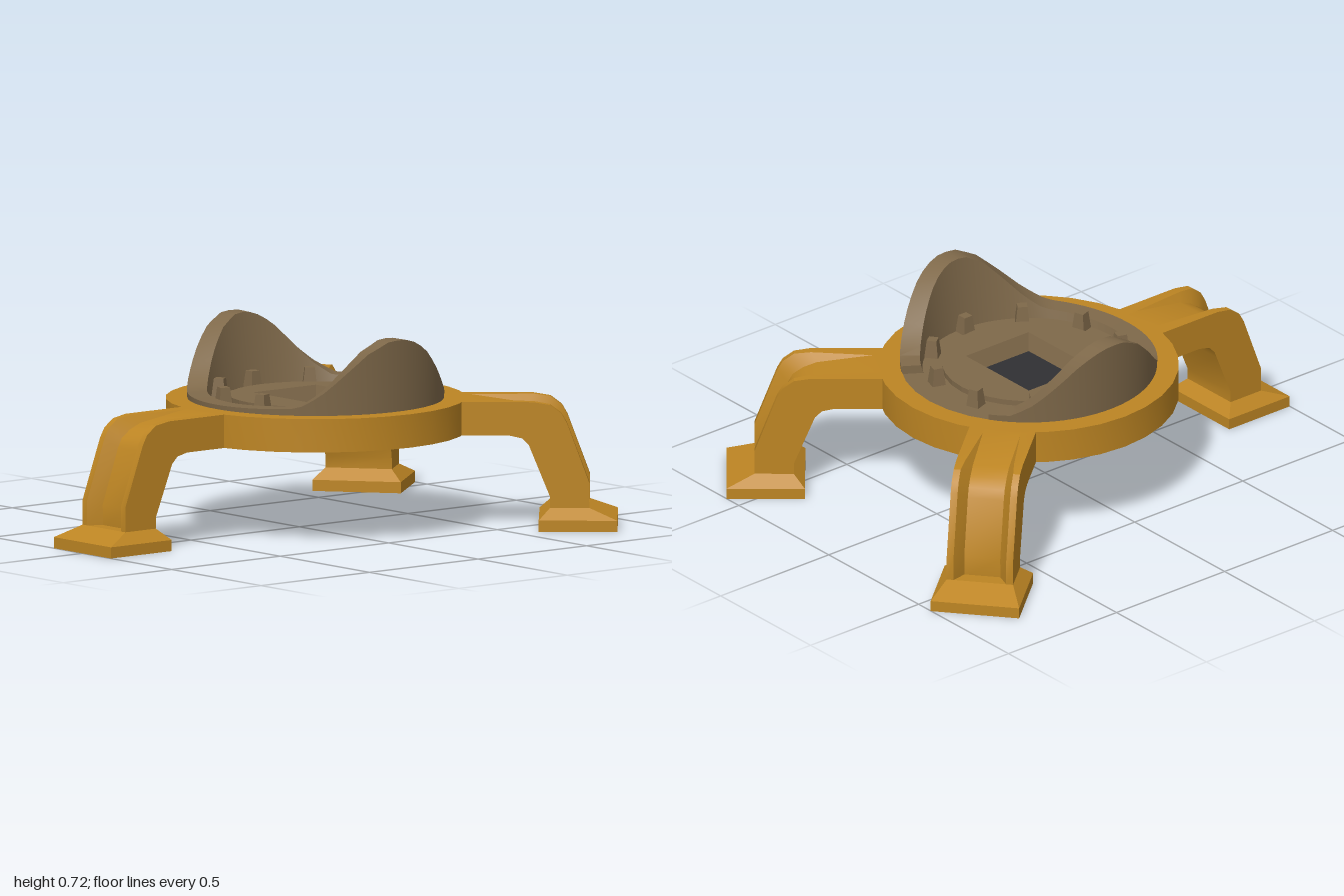
import * as THREE from 'three';
import { toCreasedNormals } from 'three/addons/utils/BufferGeometryUtils.js';

const mat = (name, color) => Object.assign(new THREE.MeshStandardMaterial({ color }), { name });

// Skin a run of closed cross-sections (lists of [x, y, z]); caps are optional.
function loft(rings, caps = false, crease = 0.45) {
  const pos = [];
  const tri = (a, b, c) => pos.push(...a, ...b, ...c);
  const n = rings[0].length;
  for (let i = 0; i < rings.length - 1; i++) {
    for (let j = 0; j < n; j++) {
      const k = (j + 1) % n;
      const [a, b, c, d] = [rings[i][j], rings[i][k], rings[i + 1][k], rings[i + 1][j]];
      tri(a, b, c);
      tri(a, c, d);
    }
  }
  if (caps) {
    const first = rings[0], last = rings[rings.length - 1];
    for (let j = 1; j < n - 1; j++) {
      tri(first[0], first[j + 1], first[j]);
      tri(last[0], last[j], last[j + 1]);
    }
  }
  const g = new THREE.BufferGeometry();
  g.setAttribute('position', new THREE.Float32BufferAttribute(pos, 3));
  return toCreasedNormals(g, crease);
}

// Horizontal rectangle used as a cross-section
const rect = (x0, x1, w, y) => [[x1, y, w], [x1, y, -w], [x0, y, -w], [x0, y, w]];

const lathe = (pts, sides) =>
  toCreasedNormals(new THREE.LatheGeometry(pts.map(p => new THREE.Vector2(...p)), sides), 0.45);

// Bent leg pointing along +x, with a groove sunk into its outer face
function legGeometry() {
  // outer r, outer y, inner r, inner y, groove depth
  const stations = [
    [0.50, 0.46, 0.50, 0.34, 0],
    [0.555, 0.46, 0.555, 0.34, 0],
    [0.775, 0.46, 0.69, 0.34, 0.035],
    [0.835, 0.45, 0.735, 0.33, 0.05],
    [0.875, 0.42, 0.76, 0.305, 0.05],
    [0.895, 0.385, 0.77, 0.28, 0.05],
    [0.975, 0.17, 0.835, 0.12, 0.05],
    [0.975, 0.07, 0.835, 0.07, 0.05],
  ];
  return loft(stations.map(([ro, yo, ri, yi, d]) => {
    const len = Math.hypot(ri - ro, yi - yo);
    const rf = ro + (ri - ro) / len * d, yf = yo + (yi - yo) / len * d;
    const a = 0.07 + d * 0.5, b = 0.065, w = 0.12;
    return [[ro, yo, -w], [ro, yo, -a], [rf, yf, -b], [rf, yf, b],
      [ro, yo, a], [ro, yo, w], [ri, yi, w], [ri, yi, -w]];
  }));
}

// Height of the curved wall at a sideways distance from its peak
function wallHeight(dx) {
  const table = [[0, 0.72], [0.05, 0.715], [0.13, 0.675], [0.2, 0.61], [0.28, 0.53], [0.34, 0.485], [0.5, 0.473]];
  for (let i = 1; i < table.length; i++) {
    const [x0, h0] = table[i - 1], [x1, h1] = table[i];
    if (dx <= x1) return h0 + (h1 - h0) * (dx - x0) / (x1 - x0);
  }
  return 0.473;
}

// Wall round the dish, open towards +x
function wallGeometry() {
  const rings = [], steps = 60, gap = 0.56;
  for (let i = 0; i <= steps; i++) {
    const t = gap + (Math.PI * 2 - gap * 2) * i / steps;
    const h = wallHeight(Math.abs(Math.cos(t)) * 0.46);
    const k = (h - 0.46) / 0.26;
    const section = [[0.385 + 0.017 * k, h], [0.457 + 0.015 * k, h], [0.456, 0.44], [0.375, 0.44]];
    rings.push(section.map(([r, y]) => [r * Math.cos(t), y, -r * Math.sin(t)]));
  }
  return loft(rings, true);
}

export function createModel() {
  const orange = mat('orange paint', 0xbd8523);
  const tan = mat('tan metal', 0x7f694a);
  const dark = mat('dark recess', 0x303033);

  const model = new THREE.Group();
  model.name = 'landingPlatform';
  const hub = new THREE.Group();
  hub.name = 'hub';
  hub.position.x = 0.075;
  model.add(hub);

  const add = (parent, name, geometry, material, x = 0, y = 0, z = 0) => {
    const m = new THREE.Mesh(geometry, material);
    m.name = name;
    m.position.set(x, y, z);
    parent.add(m);
    return m;
  };

  // Supporting ring
  add(hub, 'ring', lathe([[0.457, 0.34], [0.535, 0.34], [0.535, 0.46], [0.457, 0.46], [0.457, 0.34]], 32), orange);

  // Three legs with flared feet
  const legGeo = legGeometry();
  const footGeo = loft([
    rect(0.795, 1.075, 0.16, 0), rect(0.795, 1.075, 0.16, 0.04), rect(0.835, 0.975, 0.12, 0.08),
  ], true, 0.2);
  [40, 180, 320].forEach((deg, i) => {
    const leg = new THREE.Group();
    leg.name = 'leg' + (i + 1);
    leg.rotation.y = deg * Math.PI / 180;
    add(leg, 'strut', legGeo, orange);
    add(leg, 'foot', footGeo, orange);
    hub.add(leg);
  });

  // Dish base and outer floor
  add(hub, 'dishBase', lathe([[0, 0.345], [0.457, 0.345], [0.457, 0.45], [0.30, 0.45], [0.30, 0.40], [0, 0.40]], 32), tan);

  // Raised inner floor with a rectangular opening
  const floor = new THREE.Shape().absarc(0, 0, 0.31, 0, Math.PI * 2);
  floor.holes.push(new THREE.Path([[-0.145, -0.175], [-0.145, 0.175], [0.145, 0.175], [0.145, -0.175]]
    .map(p => new THREE.Vector2(...p))));
  const floorGeo = new THREE.ExtrudeGeometry(floor, { depth: 0.07, bevelEnabled: false, curveSegments: 16 });
  floorGeo.rotateX(-Math.PI / 2);
  add(hub, 'innerFloor', floorGeo, tan, 0, 0.40, 0);
  add(hub, 'recessWalls', loft([rect(-0.145, 0.145, 0.175, 0.47), rect(-0.125, 0.125, 0.15, 0.408)]), tan);
  add(hub, 'recessFloor', new THREE.BoxGeometry(0.27, 0.008, 0.32), dark, 0, 0.406, 0);

  // Dark opening on the underside
  add(hub, 'undersideHatch', new THREE.CylinderGeometry(0.15, 0.15, 0.008, 8), dark, 0, 0.344, 0);

  // Saddle-shaped wall
  add(hub, 'curvedWall', wallGeometry(), tan);

  // Ring of small tapered pegs
  const pegGeo = new THREE.CylinderGeometry(0.025, 0.036, 0.07, 4).toNonIndexed();
  pegGeo.computeVertexNormals();
  for (let i = 0; i < 10; i++) {
    const t = (18 + 36 * i) * Math.PI / 180;
    const peg = add(hub, 'peg' + (i + 1), pegGeo, tan, 0.352 * Math.cos(t), 0.48, -0.352 * Math.sin(t));
    peg.rotation.y = t + Math.PI / 4;
  }
  return model;
}
